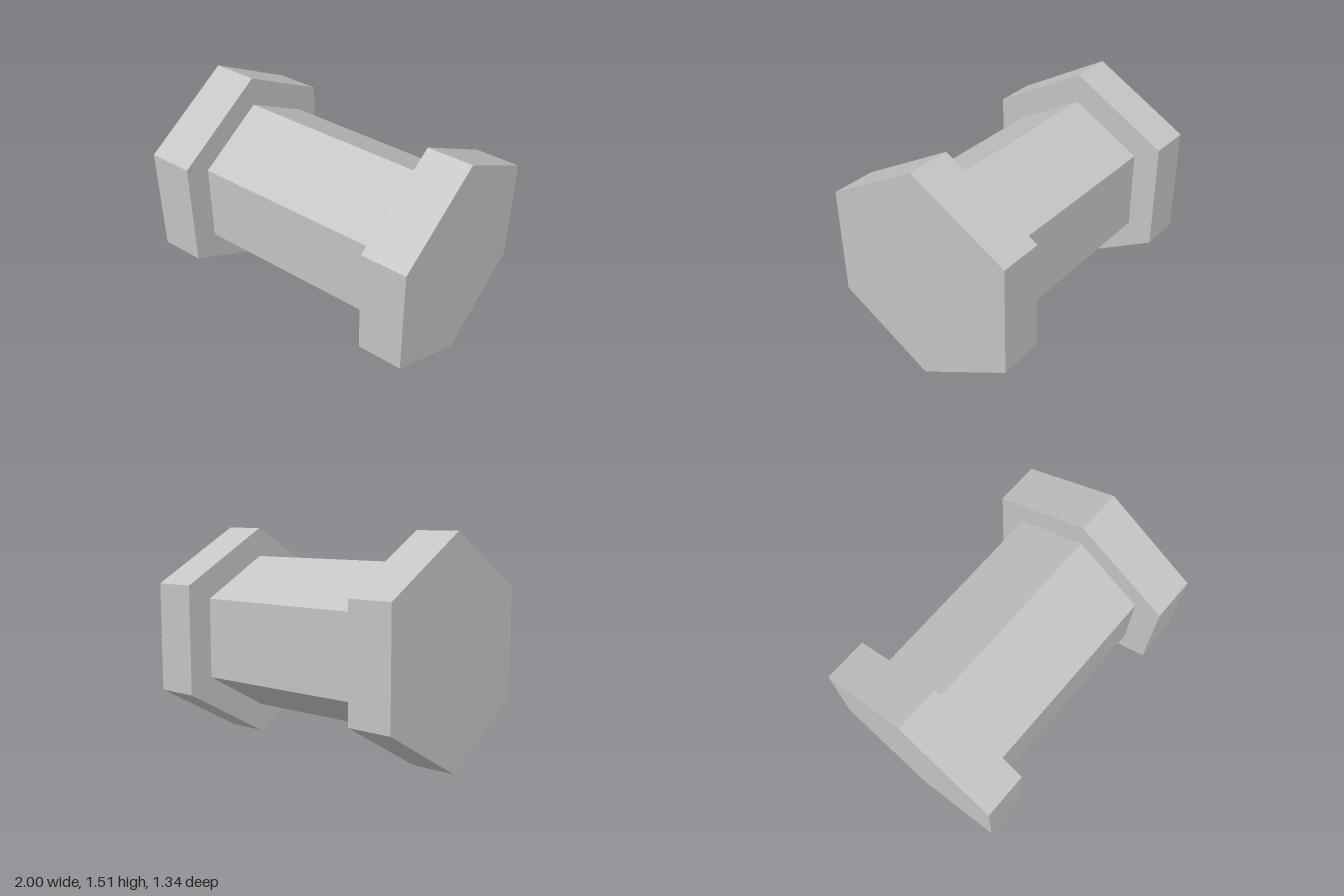
import * as THREE from 'three';

const CENTRE_Y = 0.756;

export function createModel() {
  const group = new THREE.Group();
  const grey = new THREE.MeshStandardMaterial({ color: 0xc4c4c4, flatShading: true });
  grey.name = 'light grey';

  // Hexagonal prism lying along x, one corner pointing up, slightly wide in z
  function hexPrism(name, radius, halfDepth, length, x, open) {
    const geo = new THREE.CylinderGeometry(radius, radius, length, 6, 1, open);
    geo.rotateY(Math.PI / 2);
    geo.rotateZ(Math.PI / 2);
    geo.scale(1, 1, halfDepth / (radius * Math.sin(Math.PI / 3)));
    const mesh = new THREE.Mesh(geo, grey);
    mesh.name = name;
    mesh.position.set(x, CENTRE_Y, 0);
    group.add(mesh);
  }

  // Shaft between the two end blocks
  hexPrism('shaft', 0.553, 0.49, 1.386, 0, true);

  // Matching end blocks
  for (const [name, side] of [['leftEnd', 1], ['rightEnd', -1]]) {
    hexPrism(name, CENTRE_Y, 0.672, 0.307, side * 0.8465, false);
  }

  return group;
}
